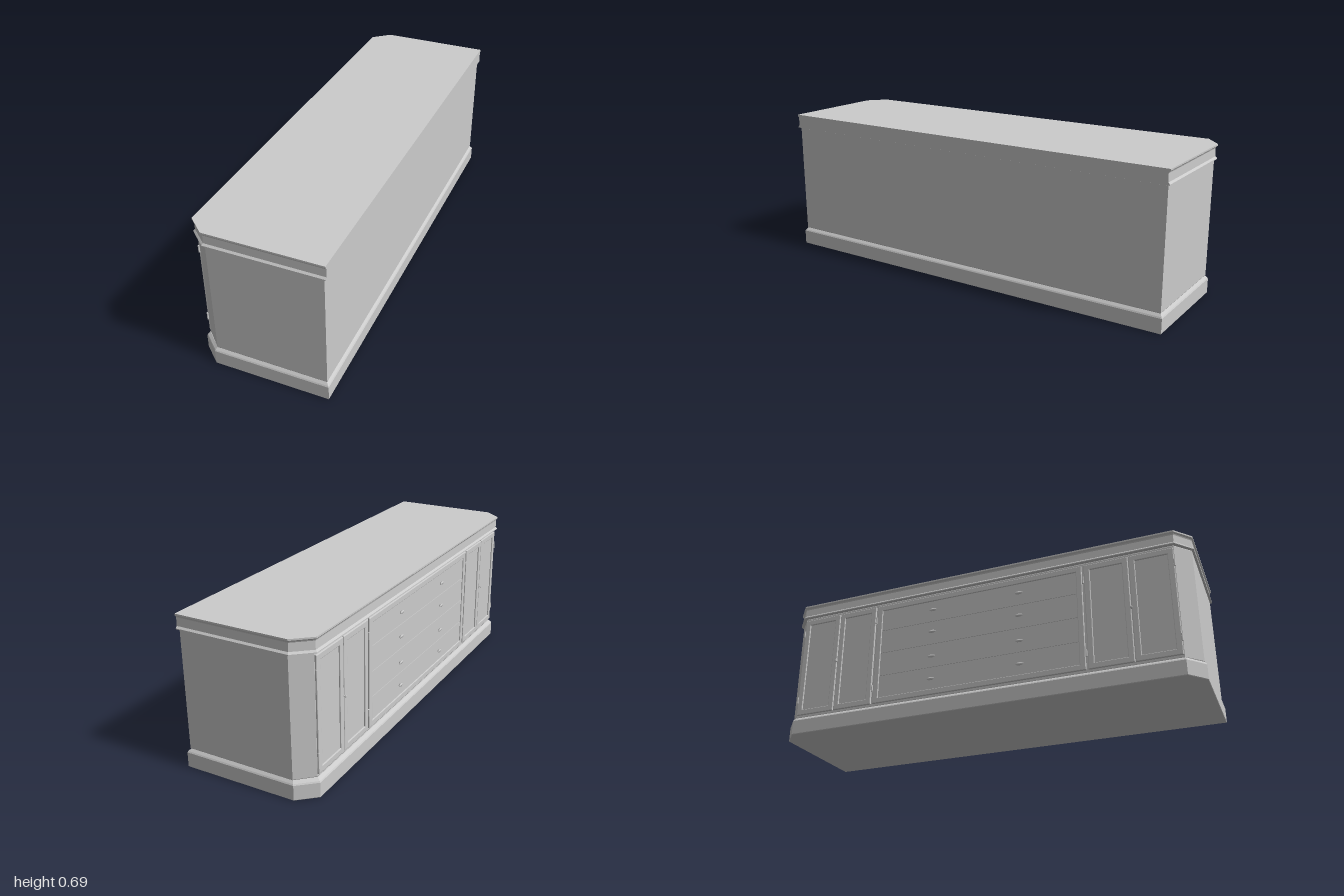
import * as THREE from 'three';

const material = new THREE.MeshStandardMaterial({ color: 0xcccccc, flatShading: true });
const smooth = new THREE.MeshStandardMaterial({ color: 0xcccccc });

function add(group, name, geometry, mat = material) {
  const mesh = new THREE.Mesh(geometry, mat);
  mesh.name = name;
  group.add(mesh);
  return mesh;
}

// Footprint with two clipped corners on the -x side: [x, z] corners
function footprint(dx, dz, back) {
  const zc = 0.93 - 0.4 * dx, xc = -0.22 + 0.5 * dx, xf = -0.3 + dx, ze = 1 - dz;
  return [[back, -ze], [back, ze], [xc, ze], [xf, zc], [xf, -zc], [xc, -ze]];
}

// Stacks footprints; each level is [y, front inset, end inset, back x]
function stack(levels) {
  const rings = levels.map(([y, dx, dz, back]) => footprint(dx, dz, back).map(([x, z]) => [x, y, z]));
  const pos = [];
  const tri = (a, b, c) => pos.push(...a, ...b, ...c);
  for (let k = 0; k < rings.length - 1; k++) {
    const lo = rings[k], hi = rings[k + 1];
    for (let i = 0; i < 6; i++) {
      const j = (i + 1) % 6;
      tri(lo[i], hi[j], lo[j]);
      tri(lo[i], hi[i], hi[j]);
    }
  }
  const bottom = rings[0], top = rings[rings.length - 1];
  for (let i = 1; i < 5; i++) {
    tri(bottom[0], bottom[i], bottom[i + 1]);
    tri(top[0], top[i + 1], top[i]);
  }
  const g = new THREE.BufferGeometry();
  g.setAttribute('position', new THREE.Float32BufferAttribute(pos, 3));
  g.computeVertexNormals();
  return g;
}

function rectangle(Type, z0, z1, y0, y1) {
  return new Type([[z0, y0], [z1, y0], [z1, y1], [z0, y1]].map(p => new THREE.Vector2(...p)));
}

// Bevelled frame lying on the cabinet face, extruded towards -x
function frame(z0, z1, y0, y1, width) {
  const b = 0.003;
  const shape = rectangle(THREE.Shape, z0 + b, z1 - b, y0 + b, y1 - b);
  shape.holes.push(rectangle(THREE.Path, z0 + width, z1 - width, y0 + width, y1 - width));
  const g = new THREE.ExtrudeGeometry(shape, {
    depth: 0.007, bevelThickness: b, bevelSize: b, bevelSegments: 2,
  });
  return g.rotateY(-Math.PI / 2).translate(-0.281, 0, 0);
}

function slab(z0, z1, y0, y1, xFront) {
  const depth = -0.278 - xFront;
  return new THREE.BoxGeometry(depth, y1 - y0, z1 - z0)
    .translate(xFront + depth / 2, (y0 + y1) / 2, (z0 + z1) / 2);
}

// Turned knob pointing to -x, from [radius, height] points
function turned(points) {
  return new THREE.LatheGeometry(points.map(p => new THREE.Vector2(...p)), 16).rotateZ(Math.PI / 2);
}

export function createModel() {
  const model = new THREE.Group();
  model.name = 'sideboard';
  const yBottom = 0.098, yTop = 0.605;

  // Plinth, carcass and moulded top
  add(model, 'plinth', stack([
    [0, 0.002, 0.002, 0.298], [0.003, 0, 0, 0.3], [0.068, 0, 0, 0.3],
    [0.074, 0.003, 0.003, 0.297], [0.085, 0.015, 0.012, 0.287],
  ]));
  add(model, 'carcass', stack([
    [0.084, 0.019, 0.012, 0.287], [0.088, 0.017, 0.01, 0.29],
    [0.616, 0.017, 0.01, 0.29], [0.621, 0.019, 0.012, 0.287],
  ]));
  add(model, 'top', stack([
    [0.619, 0, 0, 0.3], [0.623, 0, 0, 0.3], [0.631, 0.007, 0.007, 0.3],
    [0.667, 0.008, 0.008, 0.3], [0.672, 0.006, 0.006, 0.3],
    [0.678, 0, 0, 0.3], [0.685, 0, 0, 0.3],
  ]));

  // Central drawer bank
  const drawers = new THREE.Group();
  drawers.name = 'drawerBank';
  model.add(drawers);
  add(drawers, 'drawerFrame', frame(-0.512, 0.512, yBottom, yTop, 0.024));
  const splits = [0.121, 0.234, 0.352, 0.47, 0.582];
  const knobHeights = [0.175, 0.288, 0.415, 0.53];
  const pull = turned([[0, 0], [0.006, 0], [0.006, 0.004], [0.011, 0.006], [0.01, 0.009], [0, 0.011]])
    .scale(1, 0.7, 1.7);
  knobHeights.forEach((y, i) => {
    add(drawers, 'drawerFront', slab(-0.487, 0.487, splits[i] + 0.0012, splits[i + 1] - 0.0012, -0.286));
    for (const side of [-1, 1]) add(drawers, 'drawerPull', pull, smooth).position.set(-0.285, y, side * 0.215);
  });

  // A pair of framed doors at each end, with a knob and hinges
  const knob = turned([[0, 0], [0.005, 0], [0.002, 0.003], [0.002, 0.007], [0.006, 0.009], [0.005, 0.011], [0, 0.012]]);
  const hinge = new THREE.CylinderGeometry(0.004, 0.004, 0.033, 10);
  for (const side of [-1, 1]) {
    const doors = new THREE.Group();
    doors.name = side > 0 ? 'leftDoors' : 'rightDoors';
    model.add(doors);
    for (const [near, far] of [[0.522, 0.721], [0.724, 0.921]]) {
      const z0 = Math.min(side * near, side * far), z1 = Math.max(side * near, side * far);
      add(doors, 'doorFrame', frame(z0, z1, yBottom, yTop, 0.024));
      add(doors, 'doorPanel', slab(z0 + 0.02, z1 - 0.02, yBottom + 0.02, yTop - 0.02, -0.285));
    }
    add(doors, 'doorKnob', knob, smooth).position.set(-0.29, 0.35, side * 0.724);
    for (const z of [0.517, 0.922]) {
      for (const y of [0.175, 0.53]) add(doors, 'hinge', hinge, smooth).position.set(-0.29, y, side * z);
    }
  }
  return model;
}
